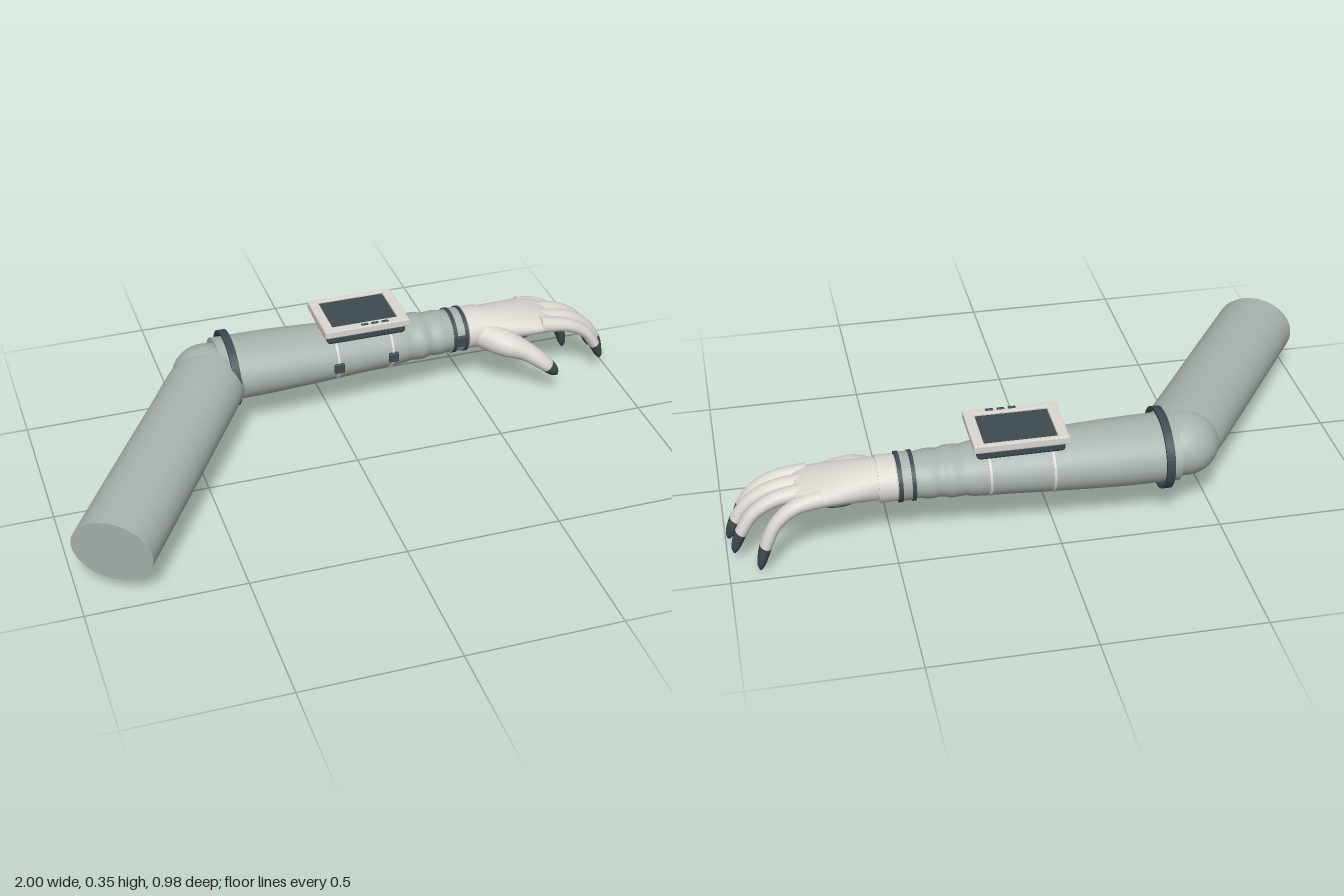
import * as THREE from 'three';
import { RoundedBoxGeometry } from 'three/addons/geometries/RoundedBoxGeometry.js';

const mat = (name, color) => {
  const m = new THREE.MeshStandardMaterial({ color });
  m.name = name;
  return m;
};

// Smooth elliptical loft through sections [x, y, z, halfWidth, halfHeight], cut to the range u0..u1
function loft(sections, { side, u0 = 0, u1 = 1, steps = 24, sides = 32 } = {}) {
  const path = new THREE.CatmullRomCurve3(sections.map(s => new THREE.Vector3(s[0], s[1], s[2])), false, 'catmullrom');
  const size = new THREE.CatmullRomCurve3(sections.map(s => new THREE.Vector3(s[3], s[4], 0)), false, 'catmullrom');
  const pos = [], idx = [], rings = [];
  const ring = u => {
    const c = path.getPoint(u), r = size.getPoint(u);
    const t = path.getPoint(Math.min(1, u + 0.01)).sub(path.getPoint(Math.max(0, u - 0.01))).normalize();
    const s = side ? side.clone() : t.clone().cross(new THREE.Vector3(0, 1, 0)).normalize();
    const n = s.clone().cross(t).normalize();
    const start = pos.length / 3;
    for (let j = 0; j < sides; j++) {
      const a = j / sides * Math.PI * 2;
      const p = c.clone().addScaledVector(s, Math.cos(a) * r.x).addScaledVector(n, Math.sin(a) * r.y);
      pos.push(p.x, p.y, p.z);
    }
    return { start, c };
  };
  for (let i = 0; i <= steps; i++) rings.push(ring(u0 + (u1 - u0) * i / steps).start);
  for (let i = 0; i < steps; i++) {
    for (let j = 0; j < sides; j++) {
      const k = (j + 1) % sides, a = rings[i], b = rings[i + 1];
      idx.push(a + j, b + j, a + k, a + k, b + j, b + k);
    }
  }
  // flat end caps with their own vertices
  for (const [u, end] of [[u0, false], [u1, true]]) {
    const { start, c } = ring(u), mid = pos.length / 3;
    pos.push(c.x, c.y, c.z);
    for (let j = 0; j < sides; j++) {
      const k = (j + 1) % sides;
      idx.push(mid, start + (end ? k : j), start + (end ? j : k));
    }
  }
  const g = new THREE.BufferGeometry();
  g.setAttribute('position', new THREE.Float32BufferAttribute(pos, 3));
  g.setIndex(idx);
  g.computeVertexNormals();
  return g;
}

// Elliptical hoop around the x axis
function hoop(x, width, rz, ry, thick) {
  const shape = new THREE.Shape().absellipse(0, 0, rz, ry, 0, Math.PI * 2);
  shape.holes.push(new THREE.Path().absellipse(0, 0, rz - thick, ry - thick, 0, Math.PI * 2));
  const g = new THREE.ExtrudeGeometry(shape, { depth: width, bevelEnabled: false, curveSegments: 32 });
  return g.translate(0, 0, -width / 2).rotateY(Math.PI / 2).translate(x, 0.212, -0.35);
}

export function createModel() {
  const model = new THREE.Group();
  model.name = 'gloved arm';
  const sleeve = mat('sleeve grey', 0xa9b3ae);
  const light = mat('glove white', 0xdad6d0);
  const dark = mat('dark slate', 0x3e4a50);
  const add = (name, geometry, material) => {
    const m = new THREE.Mesh(geometry, material);
    m.name = name;
    model.add(m);
    return m;
  };
  const box = (name, w, h, d, x, y, z, material, r = 0.004) =>
    add(name, new RoundedBoxGeometry(w, h, d, 3, r).translate(x, y, z), material);

  // Upper arm and elbow
  add('upperArm', loft([
    [-0.89, 0.155, 0.42, 0.13, 0.107], [-0.72, 0.173, 0.162, 0.13, 0.106],
    [-0.55, 0.191, -0.096, 0.129, 0.104], [-0.42, 0.207, -0.293, 0.126, 0.101],
    [-0.36, 0.211, -0.37, 0.09, 0.09]], { sides: 40 }), sleeve);
  add('elbow', new THREE.SphereGeometry(1, 32, 20).scale(0.115, 0.1, 0.118).translate(-0.415, 0.21, -0.33), sleeve);

  // Forearm, with soft creases toward the wrist
  add('forearm', loft([
    [-0.38, 0.212, -0.348, 0.126, 0.1], [-0.2, 0.212, -0.35, 0.124, 0.098],
    [0, 0.212, -0.35, 0.114, 0.09], [0.14, 0.212, -0.35, 0.105, 0.083],
    [0.24, 0.212, -0.35, 0.099, 0.079], [0.28, 0.212, -0.35, 0.092, 0.073],
    [0.32, 0.212, -0.35, 0.094, 0.075], [0.35, 0.212, -0.35, 0.086, 0.069],
    [0.385, 0.212, -0.35, 0.088, 0.071], [0.43, 0.212, -0.35, 0.08, 0.066],
    [0.49, 0.212, -0.35, 0.078, 0.064]], { steps: 64, sides: 40 }), sleeve);

  // Elbow hoop, straps and wrist bands
  add('elbowHoop', hoop(-0.34, 0.026, 0.143, 0.121, 0.01), dark);
  for (const [x, rz, ry] of [[0.012, 0.116, 0.092], [0.205, 0.105, 0.084]]) {
    add('strap', hoop(x, 0.008, rz, ry, 0.008), light);
    box('buckle', 0.034, 0.034, 0.016, x, 0.21, -0.35 + rz - 0.003, dark);
  }
  add('wristBand', hoop(0.452, 0.05, 0.083, 0.071, 0.01), sleeve);
  for (const x of [0.434, 0.474]) add('wristTrim', hoop(x, 0.012, 0.086, 0.074, 0.012), dark);
  box('wristBuckle', 0.034, 0.04, 0.014, 0.454, 0.212, -0.267, dark);

  // Forearm display
  box('displayMount', 0.12, 0.03, 0.1, 0.11, 0.288, -0.35, dark);
  box('displayBase', 0.27, 0.034, 0.196, 0.112, 0.313, -0.347, dark, 0.012);
  const rim = new THREE.Shape();
  rim.moveTo(-0.142, -0.103).lineTo(0.142, -0.103).lineTo(0.142, 0.103).lineTo(-0.142, 0.103).closePath();
  const hole = new THREE.Path();
  hole.moveTo(-0.115, -0.078).lineTo(-0.115, 0.092).lineTo(0.115, 0.092).lineTo(0.115, -0.078).closePath();
  rim.holes.push(hole);
  add('displayFrame', new THREE.ExtrudeGeometry(rim, {
    depth: 0.018, bevelThickness: 0.004, bevelSize: 0.003, bevelSegments: 2,
  }).rotateX(-Math.PI / 2).translate(0.112, 0.33, -0.347), light);
  box('displayScreen', 0.236, 0.01, 0.178, 0.112, 0.34, -0.354, dark, 0.002);
  for (const x of [0.105, 0.14, 0.175]) box('displayButton', 0.024, 0.008, 0.01, x, 0.351, -0.254, dark, 0.002);

  // Glove cuff and palm
  add('gloveCuff', hoop(0.512, 0.056, 0.083, 0.068, 0.014), light);
  const zSide = new THREE.Vector3(0, 0, 1);
  add('palm', loft([
    [0.48, 0.212, -0.35, 0.075, 0.061], [0.55, 0.214, -0.35, 0.079, 0.06],
    [0.65, 0.214, -0.35, 0.096, 0.05], [0.74, 0.213, -0.352, 0.107, 0.037],
    [0.785, 0.211, -0.352, 0.094, 0.024]], { side: zSide }), light);
  add('palmPad', new THREE.SphereGeometry(1, 24, 12).scale(0.085, 0.016, 0.072).translate(0.665, 0.176, -0.35), dark);

  // Fingers: knuckle z, tip z, knuckle x, tip x, tip y
  const digit = (name, sections, split, side) => {
    add(name, loft(sections, { side, u1: split, sides: 20 }), light);
    add(name + 'Tip', loft(sections, { side, u0: split, steps: 10, sides: 20 }), dark);
  };
  const fingers = {
    indexFinger: [-0.277, -0.262, 0.74, 0.965, 0.056],
    middleFinger: [-0.328, -0.322, 0.75, 0.99, 0.042],
    ringFinger: [-0.38, -0.385, 0.745, 0.978, 0.032],
    littleFinger: [-0.427, -0.446, 0.71, 0.907, 0.002],
  };
  const bend = [[0, 0, 0.03, 0.028], [0.42, 0.08, 0.027, 0.023], [0.72, 0.3, 0.025, 0.02],
    [0.89, 0.62, 0.025, 0.019], [0.975, 0.88, 0.018, 0.014], [1, 1, 0.006, 0.005]];
  for (const [name, [z0, z1, x0, x1, y1]] of Object.entries(fingers)) {
    digit(name, bend.map(([a, b, w, h]) =>
      [x0 + (x1 - x0) * a, 0.218 + (y1 - 0.218) * b, z0 + (z1 - z0) * a, w, h]), 0.61, zSide);
  }

  // Thumb
  digit('thumb', [
    [0.53, 0.205, -0.315, 0.045, 0.045], [0.6, 0.19, -0.25, 0.05, 0.045],
    [0.665, 0.168, -0.208, 0.036, 0.032], [0.72, 0.13, -0.182, 0.032, 0.026],
    [0.752, 0.098, -0.175, 0.024, 0.02], [0.768, 0.078, -0.175, 0.007, 0.007]], 0.68);

  return model;
}
